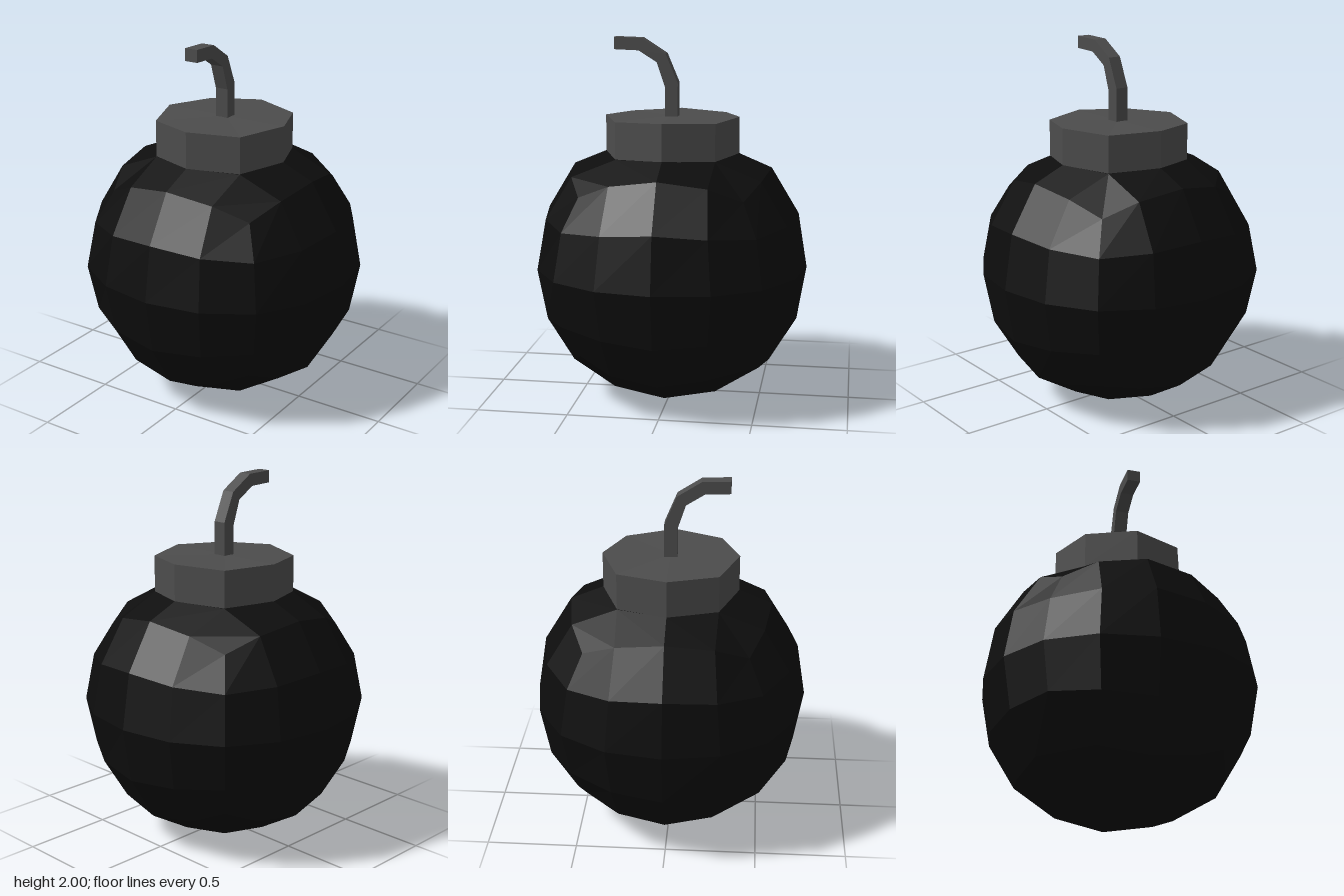
import * as THREE from 'three';

const black = new THREE.MeshStandardMaterial({ color: 0x0d0d0d });
black.name = 'black';
const grey = new THREE.MeshStandardMaterial({ color: 0x4c4c4c });
grey.name = 'grey';

// Move every vertex by a rule, then facet the surface.
function reshape(geometry, rule) {
  const pos = geometry.attributes.position;
  const v = new THREE.Vector3();
  for (let i = 0; i < pos.count; i++) {
    rule(v.fromBufferAttribute(pos, i));
    pos.setXYZ(i, v.x, v.y, v.z);
  }
  const flat = geometry.index ? geometry.toNonIndexed() : geometry;
  flat.computeVertexNormals();
  return flat;
}

function addPart(group, name, geometry, material) {
  const mesh = new THREE.Mesh(geometry, material);
  mesh.name = name;
  group.add(mesh);
}

// Rounded-cube positions: grid steps (largest first) -> distance for each step.
const ROUND = {
  '200': [0, 0, 0.75],
  '210': [0, 0.3, 0.7],
  '220': [0, 0, 0.549],
  '211': [0, 0.278, 0.653],
  '221': [0, 0.258, 0.512],
  '222': [0, 0, 0.435],
};

// Ball: a subdivided cube rounded into a sphere, flattened under the cap.
function ballGeometry() {
  return reshape(new THREE.BoxGeometry(4, 4, 4, 4, 4, 4), (v) => {
    const grid = v.toArray().map(Math.round);
    const steps = grid.map(Math.abs);
    const table = ROUND[[...steps].sort((a, b) => b - a).join('')];
    const [x, y, z] = grid.map((g, i) => Math.sign(g) * table[steps[i]]);
    v.set(x, y + 0.75, z);
    if (grid[1] === 2 && steps[0] < 2 && steps[2] < 2) {
      const corner = steps[0] && steps[2];
      const r = corner ? 0.268 : 0.37;
      v.set(grid[0] * r, corner ? 1.363 : 1.374, grid[2] * r);
    }
  });
}

// Cap: octagonal block whose diagonal corners sit a little lower and wider.
function capGeometry() {
  return reshape(new THREE.CylinderGeometry(0.37, 0.37, 0.2, 8), (v) => {
    if (Math.abs(v.x) > 0.1 && Math.abs(v.z) > 0.1) {
      v.x *= 1.024;
      v.z *= 1.024;
      v.y -= 0.008;
    }
    v.y += 1.473;
  });
}

// Fuse: side profile (z, y) bending forward, extruded across x.
function fuseGeometry() {
  const profile = [
    [-0.035, 1.55], [-0.035, 1.753], [0.032, 1.912], [0.162, 1.995], [0.315, 2.0],
    [0.315, 1.933], [0.18, 1.928], [0.08, 1.865], [0.035, 1.73], [0.035, 1.55],
  ];
  const shape = new THREE.Shape(profile.map(([z, y]) => new THREE.Vector2(z, y)));
  const width = 0.074;
  return new THREE.ExtrudeGeometry(shape, { depth: width, bevelEnabled: false })
    .translate(0, 0, -width / 2)
    .rotateY(-Math.PI / 2);
}

export function createModel() {
  const group = new THREE.Group();
  group.name = 'roundBomb';
  addPart(group, 'ball', ballGeometry(), black);
  addPart(group, 'cap', capGeometry(), grey);
  addPart(group, 'fuse', fuseGeometry(), grey);
  return group;
}
